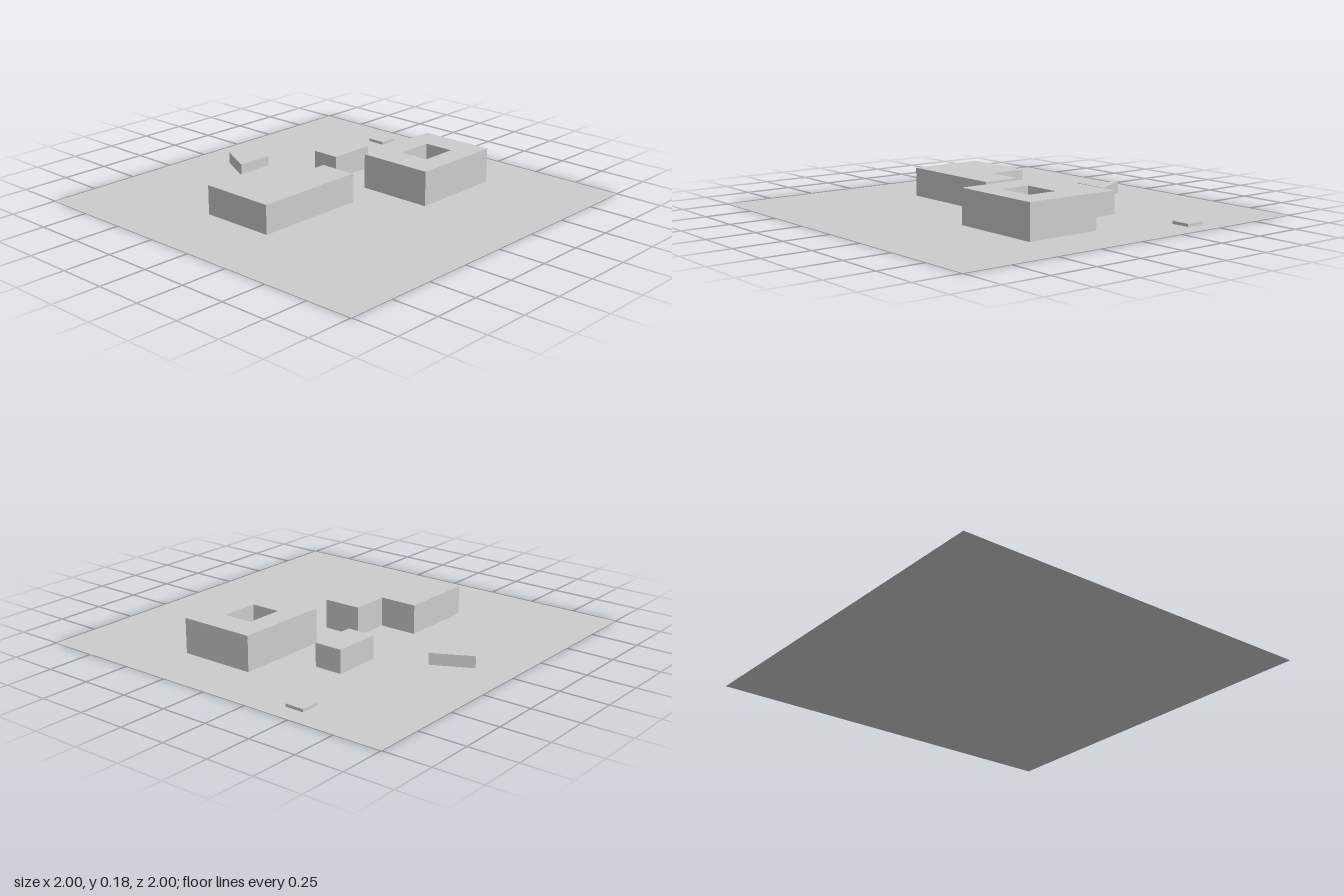
import * as THREE from 'three';

// Outlines are plan points [x, z]; shape y becomes -z when laid flat
const toPoints = (plan) => plan.map(([x, z]) => new THREE.Vector2(x, -z));
const rect = (x0, z0, x1, z1) => [[x0, z0], [x0, z1], [x1, z1], [x1, z0]];

export function createModel() {
  const model = new THREE.Group();
  model.name = 'sitePlan';

  const grey = new THREE.MeshStandardMaterial({ color: 0xcccccc, side: THREE.DoubleSide });
  grey.name = 'light grey';

  function addMesh(name, geometry) {
    const mesh = new THREE.Mesh(geometry, grey);
    mesh.name = name;
    model.add(mesh);
  }

  // Flat site sheet
  addMesh('ground', new THREE.PlaneGeometry(2, 2).rotateX(-Math.PI / 2));

  // Raise a plan outline, with an optional courtyard, into a block
  function addBlock(name, height, outline, courtyard) {
    const shape = new THREE.Shape(toPoints(outline));
    if (courtyard) shape.holes.push(new THREE.Path(toPoints(courtyard)));
    const geometry = new THREE.ExtrudeGeometry(shape, { depth: height, bevelEnabled: false });
    addMesh(name, geometry.rotateX(-Math.PI / 2));
  }

  addBlock('lShapedBuilding', 0.15,
    [[-0.6, -0.3], [-0.6, 0.1], [0, 0.1], [0, -0.1], [-0.2, -0.1], [-0.2, -0.3]]);
  addBlock('courtyardBuilding', 0.18, rect(0.2, 0, 0.7, 0.4), rect(0.35, 0.12, 0.55, 0.28));
  addBlock('smallBuilding', 0.12, rect(0.2, -0.35, 0.45, -0.2));
  addBlock('triangularBuilding', 0.06, [[0, -0.8], [-0.1, -0.6], [0.1, -0.6]]);
  addBlock('lowSlab', 0.015, rect(0.8, -0.5, 0.9, -0.4));

  return model;
}
